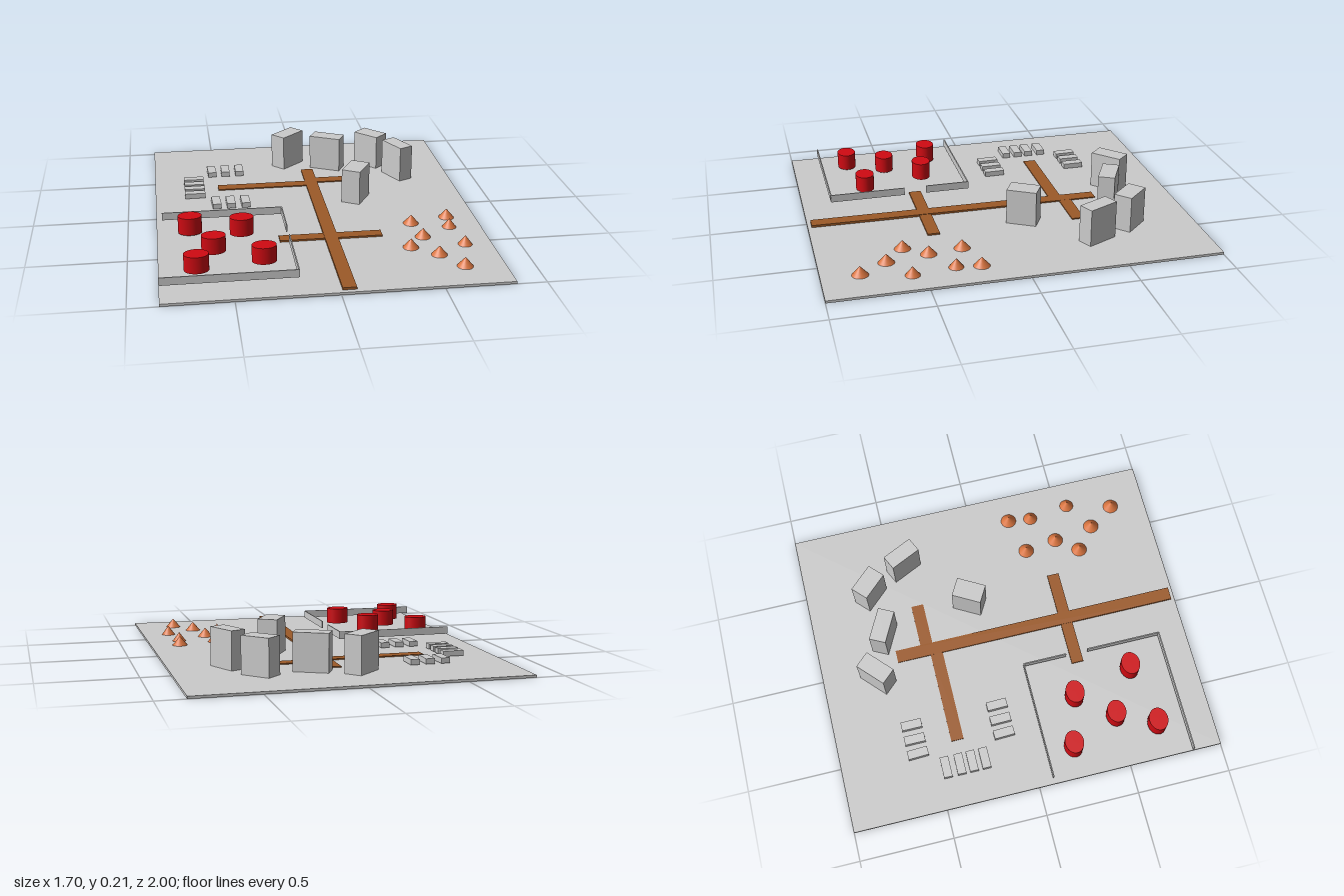
import * as THREE from 'three';

export function createModel() {
  const root = new THREE.Group();
  const grey = new THREE.MeshStandardMaterial({ color: 0xcccccc });
  const brown = new THREE.MeshStandardMaterial({ color: 0x9c5a28 });
  const red = new THREE.MeshStandardMaterial({ color: 0xd00a12 });
  const orange = new THREE.MeshStandardMaterial({ color: 0xd8743f });
  const GROUND = 0.013;

  const group = (name) => {
    const g = new THREE.Group();
    g.name = name;
    root.add(g);
    return g;
  };
  const add = (parent, name, geometry, material, x, y, z) => {
    const m = new THREE.Mesh(geometry, material);
    m.name = name;
    m.position.set(x, y, z);
    parent.add(m);
    return m;
  };
  // Box given by its extents on each axis
  const span = (parent, name, material, x0, x1, y0, y1, z0, z1) =>
    add(parent, name, new THREE.BoxGeometry(x1 - x0, y1 - y0, z1 - z0), material,
      (x0 + x1) / 2, (y0 + y1) / 2, (z0 + z1) / 2);

  // Ground slab
  span(root, 'groundSlab', grey, -0.85, 0.85, 0, GROUND, -1, 1);

  // Roads: the long one rises slightly toward the front
  const roads = group('roads');
  const main = span(roads, 'mainRoad', brown, 0.008, 0.077, 0.011, 0.023, -0.58, 0.98);
  main.rotation.x = -0.006;
  span(roads, 'backLeftRoad', brown, -0.495, 0.01, 0.01, 0.019, -0.397, -0.33);
  span(roads, 'backRightRoad', brown, 0.075, 0.31, 0.01, 0.019, -0.44, -0.373);
  span(roads, 'frontCrossRoad', brown, -0.225, 0.31, 0.012, 0.022, 0.343, 0.408);

  // Fence around the tank yard, with a gate gap facing the road
  const fence = group('fence');
  const [f0, f1, t] = [0.03, 0.071, 0.003];
  span(fence, 'backFence', grey, -0.82, -0.18, f0, f1, 0.082 - t, 0.082 + t);
  span(fence, 'frontFence', grey, -0.85, -0.18, f0, f1, 0.845 - t, 0.845 + t);
  span(fence, 'gateFenceBack', grey, -0.18 - t, -0.18 + t, f0, f1, 0.082, 0.32);
  span(fence, 'gateFenceFront', grey, -0.18 - t, -0.18 + t, f0, f1, 0.44, 0.845);

  // Oval storage tanks: x, z, bottom, top
  const tanks = group('tanks');
  [[-0.677, 0.23, 0.02, 0.113], [-0.413, 0.304, 0.031, 0.124], [-0.569, 0.492, 0.028, 0.115],
    [-0.664, 0.696, 0.028, 0.115], [-0.328, 0.638, 0.028, 0.115]].forEach(([x, z, y0, y1]) => {
    const tank = add(tanks, 'tank', new THREE.CylinderGeometry(1, 1, y1 - y0, 40), red, x, (y0 + y1) / 2, z);
    tank.scale.set(0.062, 1, 0.05);
  });

  // Cone-shaped mounds: x, z, radius across
  const mounds = group('mounds');
  [[0.695, 0.214, 0.041], [0.49, 0.267, 0.041], [0.68, 0.339, 0.037], [0.515, 0.444, 0.041],
    [0.426, 0.561, 0.041], [0.709, 0.561, 0.037], [0.55, 0.664, 0.041], [0.645, 0.807, 0.041]]
    .forEach(([x, z, r]) => {
      const mound = add(mounds, 'mound', new THREE.ConeGeometry(1, 0.049, 32), orange, x, 0.0395, z);
      mound.scale.set(r, 1, r * 1.04);
    });

  // Low sheds in three rows round a yard
  const sheds = group('sheds');
  const shed = (x, z, w, d, turn = 0) => {
    add(sheds, 'shed', new THREE.BoxGeometry(w, 0.028, d), grey, x, 0.031, z).rotation.y = turn;
  };
  [-0.52, -0.441, -0.36].forEach((x, i) => {
    shed(x, -0.585, 0.047, 0.11, i === 0 ? 0.04 : 0);
    shed(x, -0.114, 0.047, 0.11, i === 0 ? 0.04 : 0.02);
  });
  [-0.456, -0.381, -0.315, -0.246].forEach((z) => shed(-0.63, z, 0.112, 0.046));

  // Tall blocks standing in an arc: x, z, length, depth, turn in degrees, top
  const towers = group('towers');
  [[-0.058, -0.704, 0.174, 0.094, 43, 0.21], [0.169, -0.62, 0.182, 0.09, -27, 0.21],
    [0.435, -0.643, 0.162, 0.099, -46.5, 0.207], [0.554, -0.43, 0.176, 0.084, -64.5, 0.213],
    [0.257, -0.119, 0.161, 0.105, 60.5, 0.204]].forEach(([x, z, w, d, deg, top]) => {
    const y0 = GROUND;
    add(towers, 'tower', new THREE.BoxGeometry(w, top - y0, d), grey, x, (top + y0) / 2, z)
      .rotation.y = THREE.MathUtils.degToRad(deg);
  });

  return root;
}
